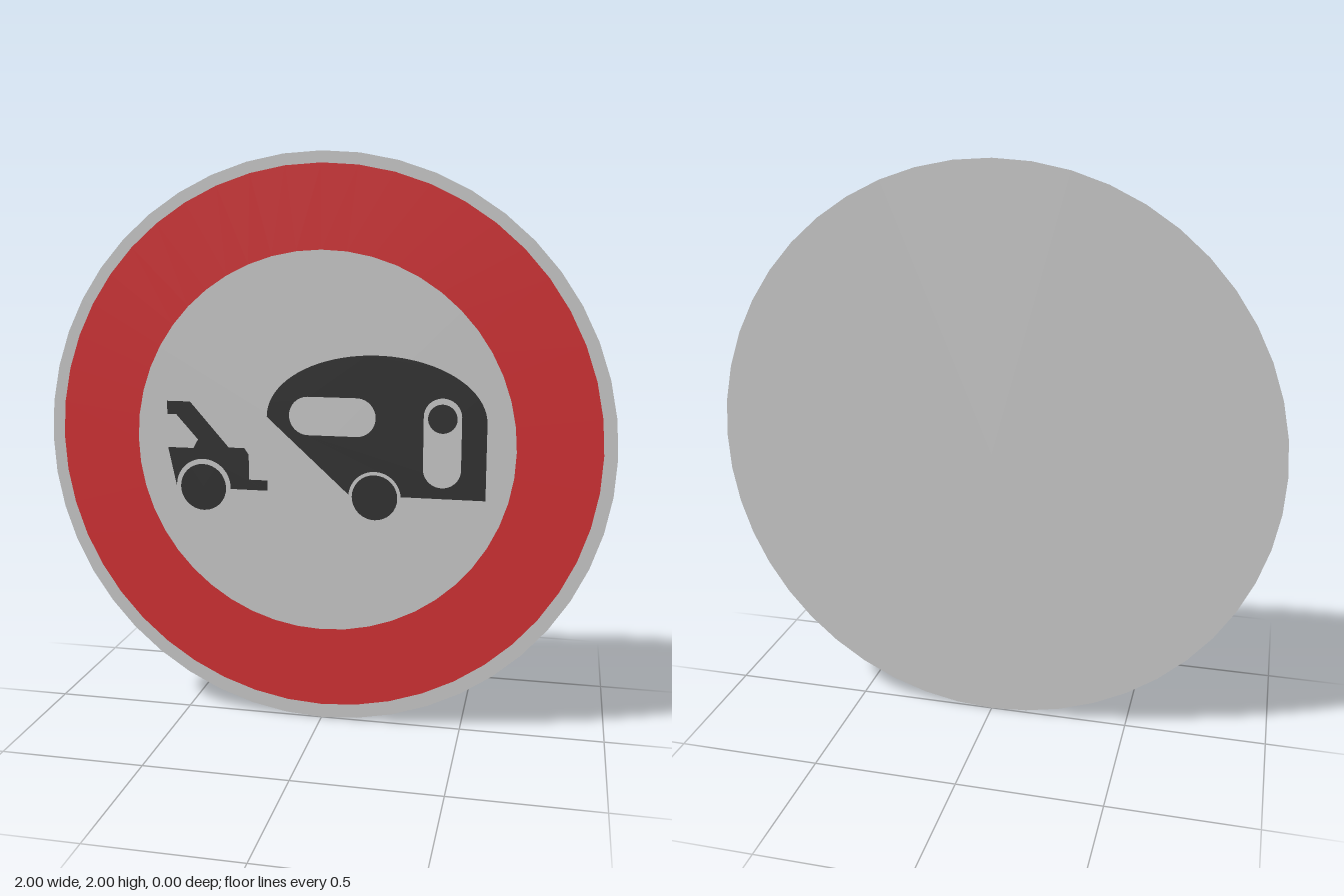
import * as THREE from 'three';

const CY = 1; // height of the sign's centre

export function createModel() {
  const group = new THREE.Group();
  const grey = new THREE.MeshStandardMaterial({ color: 0xcccccc, side: THREE.DoubleSide });
  const red = new THREE.MeshStandardMaterial({ color: 0xd43235 });
  const black = new THREE.MeshStandardMaterial({ color: 0x333333 });

  const add = (name, geometry, material, x, y, z) => {
    const mesh = new THREE.Mesh(geometry, material);
    mesh.name = name;
    mesh.position.set(x, y, z);
    group.add(mesh);
  };

  // Upright pill-ended or sideways pill-ended opening
  const pill = (x0, y0, x1, y1) => {
    const p = new THREE.Path();
    const r = Math.min(x1 - x0, y1 - y0) / 2;
    p.absarc(x0 + r, y0 + r, r, Math.PI, Math.PI * 1.5);
    p.absarc(x1 - r, y0 + r, r, Math.PI * 1.5, Math.PI * 2);
    p.absarc(x1 - r, y1 - r, r, 0, Math.PI / 2);
    p.absarc(x0 + r, y1 - r, r, Math.PI / 2, Math.PI);
    p.closePath();
    return p;
  };

  // Wheel arch cut up into a bottom edge at the given height
  const arch = (shape, x, y, r, base) => {
    const a = Math.asin((base - y) / r);
    shape.absarc(x, y, r, Math.PI - a, a, true);
  };

  // Plate and prohibition ring
  add('plate', new THREE.CircleGeometry(1, 48), grey, 0, CY, 0);
  add('redRing', new THREE.RingGeometry(0.67, 0.955, 48), red, 0, CY + 0.006, 0.002);

  const base = 0.835;

  // Towing car with its hitch bar
  const car = new THREE.Shape();
  car.moveTo(-0.56, base);
  arch(car, -0.43, 0.84, 0.1, base);
  [[-0.195, base], [-0.195, 0.872], [-0.262, 0.872], [-0.262, 0.962], [-0.278, 0.985],
    [-0.335, 0.985], [-0.475, 1.145], [-0.56, 1.145], [-0.56, 1.098], [-0.527, 1.098],
    [-0.448, 1.01], [-0.465, 0.978], [-0.56, 0.978]].forEach(([x, y]) => car.lineTo(x, y));
  car.closePath();
  add('towingCar', new THREE.ShapeGeometry(car, 16), black, 0, 0, 0.002);

  // Caravan with a domed roof, window and door openings
  const caravan = new THREE.Shape();
  caravan.moveTo(-0.195, base);
  arch(caravan, 0.188, 0.828, 0.092, base);
  caravan.lineTo(0.57, base);
  caravan.lineTo(0.57, 1.1);
  caravan.absellipse(0.1875, 1.1, 0.3825, 0.223, 0, Math.PI);
  caravan.closePath();
  caravan.holes.push(pill(-0.115, 1.04, 0.19, 1.175), pill(0.355, 0.873, 0.485, 1.183));
  add('caravan', new THREE.ShapeGeometry(caravan, 20), black, 0, 0, 0.002);

  // Wheels and round door window
  add('carWheel', new THREE.CircleGeometry(0.084, 32), black, -0.43, 0.838, 0.005);
  add('caravanWheel', new THREE.CircleGeometry(0.08, 32), black, 0.188, 0.828, 0.002);
  add('doorWindow', new THREE.CircleGeometry(0.05, 32), black, 0.42, 1.113, 0.005);

  return group;
}
